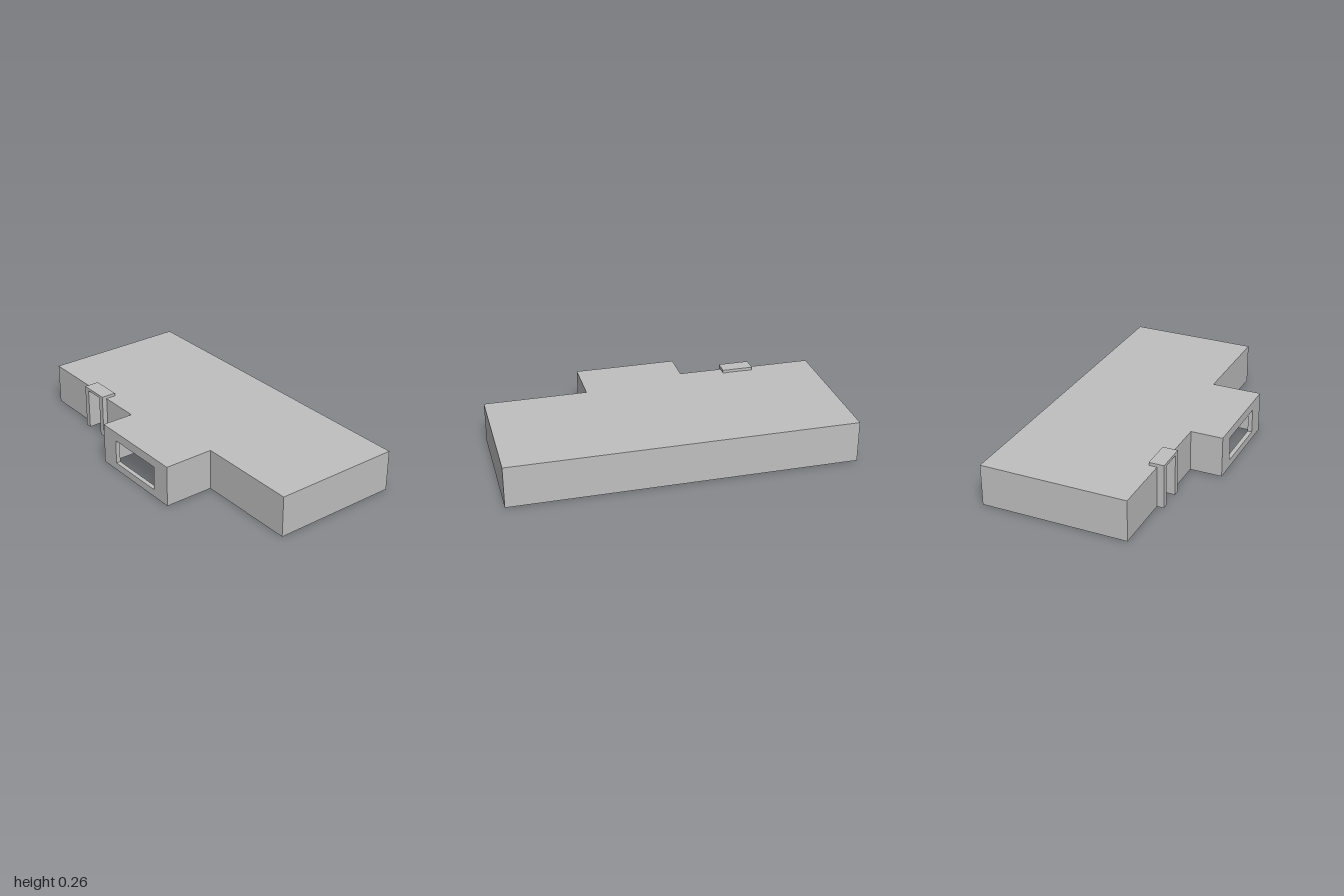
import * as THREE from 'three';

const H = 0.242;     // wall height including roof
const T = 0.026;     // wall thickness
const ROOF = 0.004;  // roof sheet thickness
const BACK = -0.527, FRONT = 0.527;

export function createModel() {
  const model = new THREE.Group();
  const grey = new THREE.MeshStandardMaterial({ color: 0xc0c0c0 });
  grey.name = 'plain grey';

  const add = (name, geometry) => {
    const mesh = new THREE.Mesh(geometry, grey);
    mesh.name = name;
    model.add(mesh);
    return mesh;
  };
  // Box given by its limits
  const block = (name, x0, x1, z0, z1, y0 = 0, y1 = H - ROOF) =>
    add(name, new THREE.BoxGeometry(x1 - x0, y1 - y0, z1 - z0))
      .position.set((x0 + x1) / 2, (y0 + y1) / 2, (z0 + z1) / 2);

  // Flat roof following the floor plan (shape y is -z)
  const plan = [
    [-1, BACK], [-1, 0.328], [-0.6, 0.328], [-0.6, 0.338], [-0.2, 0.338],
    [-0.2, FRONT], [0.4, FRONT], [0.4, 0.233], [1, 0.233], [1, BACK],
  ];
  const roof = new THREE.ExtrudeGeometry(
    new THREE.Shape(plan.map(([x, z]) => new THREE.Vector2(x, -z))),
    { depth: ROOF, bevelEnabled: false });
  roof.rotateX(-Math.PI / 2).translate(0, H - ROOF, 0);
  add('roof', roof);

  // Outer walls
  block('backWall', -1, 1, BACK, BACK + T);
  block('rightSideWall', -1, -1 + T, BACK + T, 0.328);
  block('leftSideWall', 1 - T, 1, BACK + T, 0.233);
  block('frontWallBesideDoor', -1 + T, -0.634, 0.328 - T, 0.328);
  block('frontWallBetweenDoorAndBay', -0.452, -0.2 + T, 0.338 - T, 0.338);
  block('frontWallLeft', 0.4 - T, 1 - T, 0.233 - T, 0.233);
  block('bayRightWall', -0.2, -0.2 + T, 0.338, FRONT - T);
  block('bayLeftWall', 0.4 - T, 0.4, 0.233, FRONT - T);

  // Bay front with its window opening
  const rect = (Type, x0, y0, x1, y1) => new Type(
    [[x0, y0], [x1, y0], [x1, y1], [x0, y1]].map(([x, y]) => new THREE.Vector2(x, y)));
  const bay = rect(THREE.Shape, -0.2, 0, 0.4, H - ROOF);
  bay.holes.push(rect(THREE.Path, -0.083, 0.044, 0.28, 0.188));
  add('bayWindowWall', new THREE.ExtrudeGeometry(bay, { depth: T, bevelEnabled: false })
    .translate(0, 0, FRONT - T));

  // Small room in the back corner
  block('roomSideWall', -0.54 - T, -0.54, BACK + T, -0.09);
  block('roomFrontWall', -1 + T, -0.54 - T, -0.09 - T, -0.09);

  // Entrance: two posts and a cap
  block('entrancePostRight', -0.634, -0.6, 0.28, 0.368, 0, H + 0.001);
  block('entrancePostLeft', -0.486, -0.452, 0.28, 0.368, 0, H + 0.001);
  block('entranceCap', -0.634, -0.452, 0.28, 0.368, H + 0.001, 0.26);

  return model;
}
